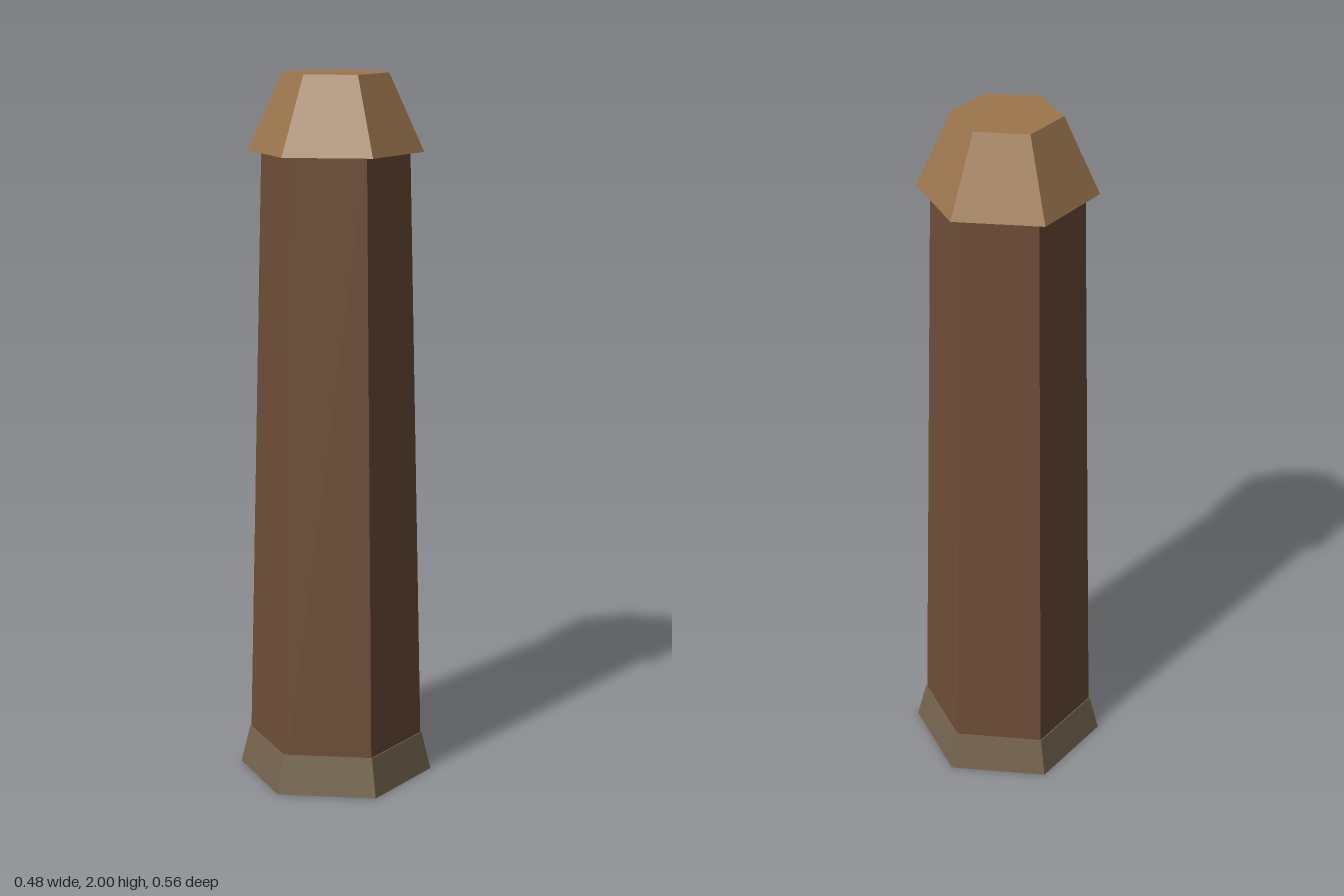
import * as THREE from 'three';

export function createModel() {
  const group = new THREE.Group();
  const material = (name, color) => {
    const m = new THREE.MeshStandardMaterial({ color, flatShading: true });
    m.name = name;
    return m;
  };

  // Six-sided tapered section between two heights, corners facing front and back
  const section = (name, mat, y0, y1, r0, r1) => {
    const geometry = new THREE.CylinderGeometry(r1, r0, y1 - y0, 6);
    geometry.translate(0, (y0 + y1) / 2, 0);
    const mesh = new THREE.Mesh(geometry, mat);
    mesh.name = name;
    group.add(mesh);
  };

  // Flared foot, long tapered shaft and overhanging bevelled cap
  section('foot', material('greyBrown', 0x75654f), 0, 0.11, 0.278, 0.251);
  section('shaft', material('darkWood', 0x704f39), 0.01, 1.8, 0.25, 0.205);
  section('cap', material('lightWood', 0x9c764d), 1.787, 2, 0.243, 0.146);

  return group;
}
